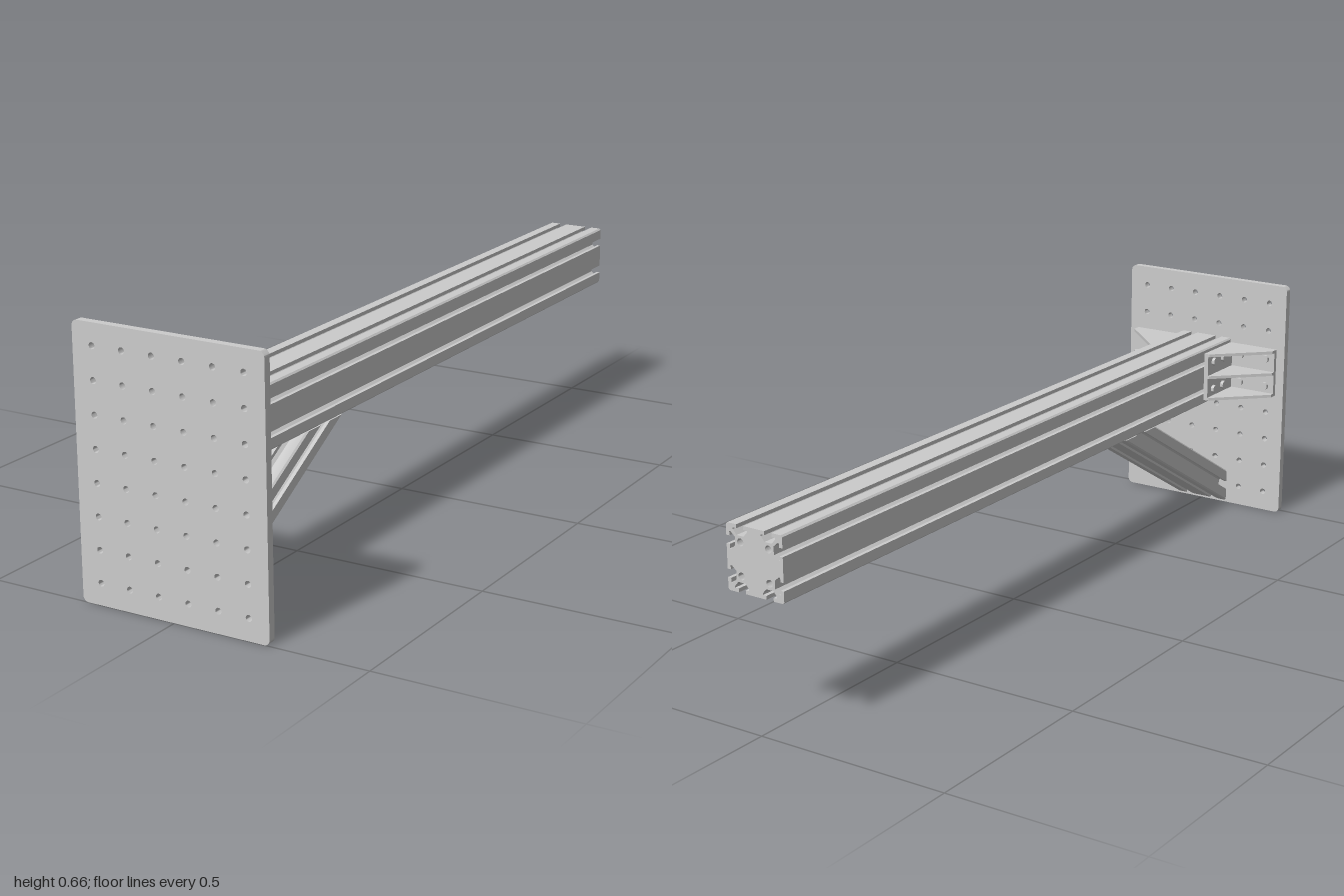
import * as THREE from 'three';
import { toCreasedNormals } from 'three/addons/utils/BufferGeometryUtils.js';

const material = new THREE.MeshStandardMaterial({ color: 0xcccccc });
const CELL = 0.079; // slot and hole pitch
const BEAM_Y = 0.411;
const PLATE_BACK = 0.98;

function mesh(name, geometry, x = 0, y = 0, z = 0) {
  const m = new THREE.Mesh(geometry, material);
  m.name = name;
  m.position.set(x, y, z);
  return m;
}

function extrude(shape, depth) {
  const geometry = new THREE.ExtrudeGeometry(shape, { depth, bevelEnabled: false, curveSegments: 10 });
  return toCreasedNormals(geometry, 0.7);
}

function addHole(shape, x, y, radius) {
  shape.holes.push(new THREE.Path().absarc(x, y, radius, 0, Math.PI * 2, true));
}

// T-slot cross-section of nx by ny cells, with one slot per cell edge and a bore per cell
function slotProfile(nx, ny) {
  const slot = [[-0.01, 0], [-0.01, 0.009], [-0.02, 0.009], [-0.02, 0.013], [-0.01, 0.0245],
    [0.01, 0.0245], [0.02, 0.013], [0.02, 0.009], [0.01, 0.009], [0.01, 0]];
  const w = nx * CELL, h = ny * CELL;
  const sides = [[-w / 2, -h / 2, 1, 0, nx], [w / 2, -h / 2, 0, 1, ny],
    [w / 2, h / 2, -1, 0, nx], [-w / 2, h / 2, 0, -1, ny]];
  const points = [];
  for (const [x, y, dx, dy, n] of sides) {
    const at = (along, inward) =>
      points.push(new THREE.Vector2(x + dx * along - dy * inward, y + dy * along + dx * inward));
    at(0.004, 0);
    for (let i = 0; i < n; i++) {
      for (const [a, d] of slot) at((i + 0.5) * CELL + a, d);
    }
    at(n * CELL - 0.004, 0);
  }
  const shape = new THREE.Shape(points);
  for (let i = 0; i < nx; i++) {
    for (let j = 0; j < ny; j++) {
      addHole(shape, (i + 0.5) * CELL - w / 2, (j + 0.5) * CELL - h / 2, 0.009);
    }
  }
  return shape;
}

// Rounded mounting plate with a grid of through holes
function createPlate() {
  const w = 0.25, h = 0.66, r = 0.014;
  const s = new THREE.Shape();
  s.absarc(w - r, r, r, -Math.PI / 2, 0);
  s.absarc(w - r, h - r, r, 0, Math.PI / 2);
  s.absarc(-w + r, h - r, r, Math.PI / 2, Math.PI);
  s.absarc(-w + r, r, r, Math.PI, Math.PI * 1.5);
  s.closePath();
  for (let i = 0; i < 6; i++) {
    for (let j = 0; j < 8; j++) addHole(s, (i - 2.5) * CELL, 0.054 + j * CELL, 0.008);
  }
  return mesh('mountingPlate', extrude(s, 1 - PLATE_BACK), 0, 0, PLATE_BACK);
}

// Diagonal brace, cut upright at the plate and level under the beam
function createBrace() {
  const geometry = new THREE.ExtrudeGeometry(slotProfile(2, 1),
    { depth: 1, bevelEnabled: false, curveSegments: 10 });
  const p = geometry.attributes.position;
  const c = Math.cos(Math.PI / 6), s = 0.5, footY = 0.005, topY = BEAM_Y - CELL;
  for (let i = 0; i < p.count; i++) {
    const v = p.getY(i) + CELL / 2;
    const along = p.getZ(i) > 0.5 ? -s * v / c : (footY + c * v - topY) / s;
    p.setXYZ(i, p.getX(i), footY + c * v - s * along, PLATE_BACK + s * v + c * along);
  }
  return mesh('diagonalBrace', toCreasedNormals(geometry, 0.7));
}

// Corner bracket: two flanges, three triangular ribs and screw heads, centred on y = 0
function createBracket() {
  const g = new THREE.Group();
  const inner = CELL, outer = 0.225, tail = 0.83, height = 0.134, t = 0.012;
  g.add(mesh('plateFlange', new THREE.BoxGeometry(outer - inner, height, t),
    (inner + outer) / 2, 0, PLATE_BACK - t / 2));
  g.add(mesh('beamFlange', new THREE.BoxGeometry(t, height, PLATE_BACK - tail),
    inner + t / 2, 0, (PLATE_BACK + tail) / 2));

  const rib = new THREE.Shape([[inner, -PLATE_BACK], [outer, -PLATE_BACK], [outer, -0.957],
    [0.095, -tail], [inner, -tail]].map(([x, y]) => new THREE.Vector2(x, y)));
  const ribGeometry = extrude(rib, 0.008).rotateX(-Math.PI / 2);
  for (const y of [-height / 2, -0.004, height / 2 - 0.008]) g.add(mesh('rib', ribGeometry, 0, y, 0));

  const head = toCreasedNormals(new THREE.CylinderGeometry(0.011, 0.011, 0.009, 20), 0.7);
  for (const y of [-CELL / 2, CELL / 2]) {
    for (const x of [1.5 * CELL, 2.5 * CELL]) {
      const screw = mesh('plateScrew', head, x, y, PLATE_BACK - t - 0.004);
      screw.rotation.x = Math.PI / 2;
      g.add(screw);
    }
    for (const z of [0.914, 0.861]) {
      const screw = mesh('beamScrew', head, inner + t + 0.004, y, z);
      screw.rotation.z = Math.PI / 2;
      g.add(screw);
    }
  }
  return g;
}

export function createModel() {
  const model = new THREE.Group();
  model.name = 'bracedCantileverBeam';
  model.add(createPlate());
  model.add(mesh('beam', extrude(slotProfile(2, 2), PLATE_BACK + 1), 0, BEAM_Y, -1));
  model.add(createBrace());

  // One bracket on each side of the beam
  ['leftBracket', 'rightBracket'].forEach((name, i) => {
    const bracket = createBracket();
    bracket.name = name;
    bracket.position.y = BEAM_Y;
    bracket.rotation.z = i * Math.PI;
    model.add(bracket);
  });
  return model;
}
